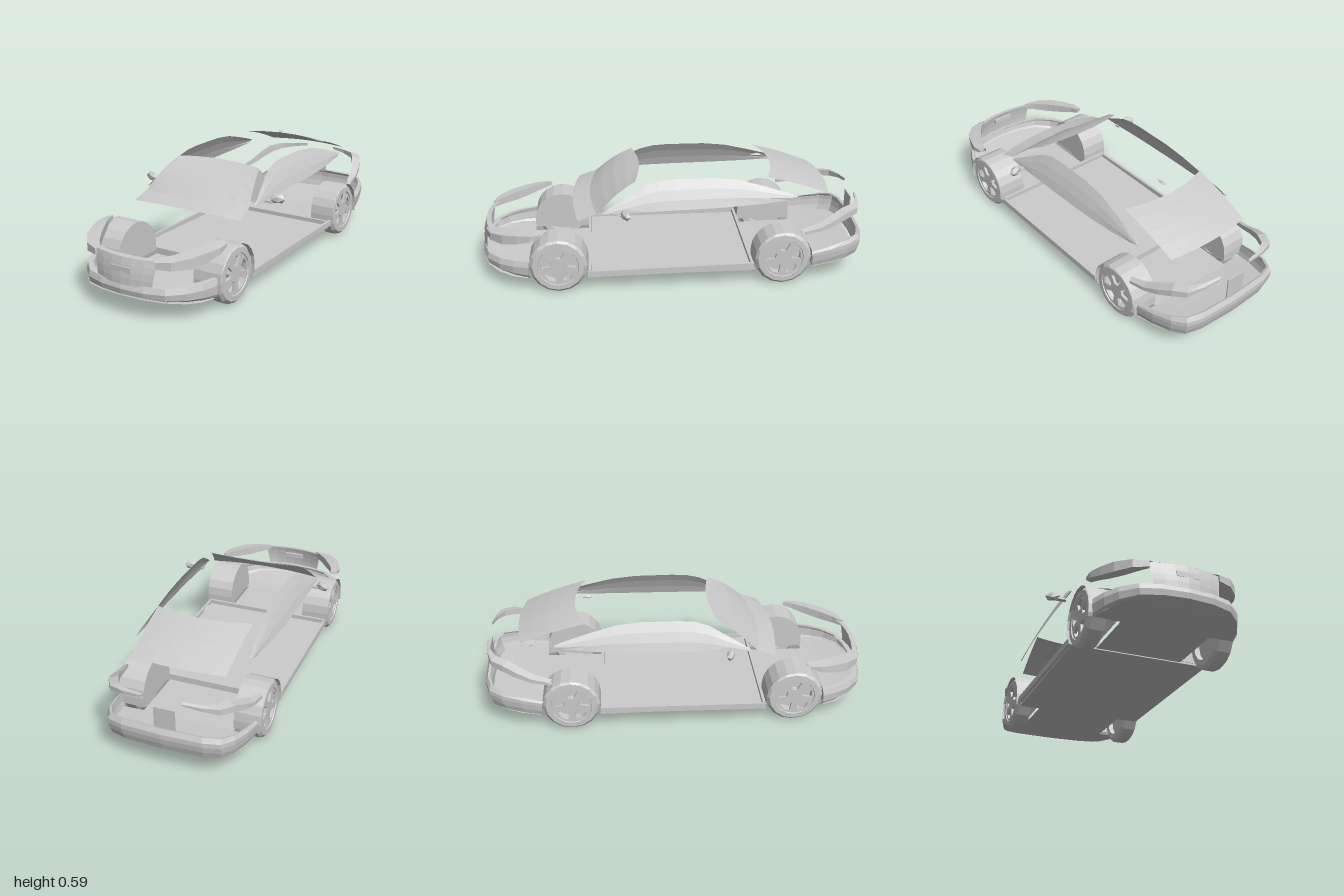
import * as THREE from 'three';

const mat = new THREE.MeshStandardMaterial({ color: 0xcccccc, flatShading: true, side: THREE.DoubleSide });
const lerp = THREE.MathUtils.lerp;

function add(parent, name, geometry) {
  const mesh = new THREE.Mesh(geometry, mat);
  mesh.name = name;
  parent.add(mesh);
}

// Skin a grid of [x, y, z] rows
function loft(rows) {
  const n = rows[0].length, index = [];
  for (let r = 0; r < rows.length - 1; r++)
    for (let i = 0; i < n - 1; i++) {
      const a = r * n + i, b = a + n;
      index.push(a, a + 1, b, b, a + 1, b + 1);
    }
  const g = new THREE.BufferGeometry();
  g.setAttribute('position', new THREE.Float32BufferAttribute(rows.flat(2), 3));
  g.setIndex(index);
  g.computeVertexNormals();
  return g;
}

// Grid from a rule of u (-1..1 across) and t (0..1 along)
function sheet(nu, nt, rule) {
  const rows = [];
  for (let j = 0; j <= nt; j++) {
    const row = [];
    for (let i = 0; i <= nu; i++) row.push(rule(i / nu * 2 - 1, j / nt));
    rows.push(row);
  }
  return loft(rows);
}

// Floor pan from [z, half width, y] stations
const pan = (stations) => loft(stations.map(([z, w, y]) => [[-w, y, z], [w, y, z]]));

// Half plan outlines [x, z] of the nose and tail
const nose = [[0, 0.995], [0.12, 0.985], [0.22, 0.955], [0.29, 0.89], [0.33, 0.82], [0.355, 0.74]];
const tail = [[0, -1], [0.2, -0.99], [0.28, -0.965], [0.32, -0.9], [0.345, -0.8], [0.355, -0.7]];
const bothSides = (plan) => [...plan.slice(1).reverse().map(([x, z]) => [-x, z]), ...plan];

// Band round a plan outline; profile is [y at centre, y at ends, scale]
function band(plan, profile) {
  const last = plan[plan.length - 1][1];
  return loft(profile.map(([yc, ye, s]) => bothSides(plan).map(([x, z]) => {
    const k = (z - last) / (plan[0][1] - last);
    return [x * s, lerp(ye, yc, k), z * (0.4 + 0.6 * s)];
  })));
}

// Four-sided bar along [x, y, z, height, depth] stations, depth going inward
function lampBar(stations, side) {
  return loft(stations.map(([x, y, z, h, d]) => {
    const zi = z - Math.sign(z) * d * 0.6;
    return [[x, y - h / 2, z], [x, y + h / 2, z], [x - d, y + h / 2 + 0.008, zi], [x - d, y - h / 4, zi], [x, y - h / 2, z]]
      .map(([a, b, c]) => [a * side, b, c]);
  }));
}

// Wheel facing +x: tyre, pierced spoke face, hub and brake disc
function makeWheel() {
  const wheel = new THREE.Group();
  const R = 0.145;
  const tyre = [[0.1, -0.045], [0.128, -0.045], [R, -0.03], [R, 0.028], [0.13, 0.044], [0.104, 0.045], [0.1, 0.036], [0.098, -0.045]]
    .map(([r, y]) => new THREE.Vector2(r, y));
  add(wheel, 'tyre', new THREE.LatheGeometry(tyre, 16).rotateZ(-Math.PI / 2));

  const face = new THREE.Shape().absarc(0, 0, 0.104, 0, Math.PI * 2);
  for (let i = 0; i < 5; i++) {
    const a = (i + 0.25) * Math.PI * 2 / 5;
    const pts = [[0.042, -0.3], [0.088, -0.4], [0.092, 0], [0.088, 0.4], [0.042, 0.3]]
      .map(([r, w]) => new THREE.Vector2(r * Math.cos(a + w), r * Math.sin(a + w)));
    face.holes.push(new THREE.Path(pts));
  }
  const spokes = new THREE.ExtrudeGeometry(face, { depth: 0.014, bevelEnabled: false, curveSegments: 8 });
  add(wheel, 'spokes', spokes.rotateY(Math.PI / 2).translate(0.026, 0, 0));
  add(wheel, 'hub', new THREE.CylinderGeometry(0.02, 0.03, 0.06, 8).rotateZ(-Math.PI / 2).translate(0.01, 0, 0));
  add(wheel, 'brakeDisc', new THREE.CylinderGeometry(0.095, 0.095, 0.01, 14).rotateZ(Math.PI / 2).translate(-0.015, 0, 0));
  return wheel;
}

// Arched liner over a wheel, with its inner wall
function makeLiner(inner, outer, r) {
  const liner = new THREE.Group();
  const arc = [[-r, -0.045]];
  for (let i = 0; i <= 10; i++) arc.push([-r * Math.cos(i * Math.PI / 10), r * Math.sin(i * Math.PI / 10)]);
  arc.push([r, -0.045]);
  add(liner, 'archLiner', loft([inner, outer].map((x) => arc.map(([z, y]) => [x, y, z]))));
  const wall = new THREE.Shape(arc.map(([z, y]) => new THREE.Vector2(-z, y)));
  add(liner, 'linerWall', new THREE.ShapeGeometry(wall).rotateY(Math.PI / 2).translate(inner, 0, 0));
  return liner;
}

export function createModel() {
  const car = new THREE.Group();
  car.name = 'car';

  // Floor: level middle, with end pans that rise towards the bumpers
  add(car, 'middleFloor', new THREE.BoxGeometry(0.69, 0.018, 0.84).translate(0, 0.084, 0.02));
  add(car, 'frontPan', pan([[0.43, 0.22, 0.08], [0.74, 0.22, 0.078], [0.745, 0.345, 0.078], [0.82, 0.322, 0.08],
    [0.89, 0.284, 0.09], [0.95, 0.215, 0.1], [0.98, 0.12, 0.105], [0.988, 0.02, 0.106]]));
  add(car, 'rearPan', pan([[-0.39, 0.235, 0.08], [-0.7, 0.235, 0.085], [-0.705, 0.345, 0.085], [-0.8, 0.335, 0.095],
    [-0.89, 0.31, 0.108], [-0.945, 0.272, 0.118], [-0.965, 0.195, 0.12], [-0.972, 0.02, 0.12]]));

  // Cross members where the floor steps
  for (const z of [-0.395, 0.435])
    add(car, 'crossMember', new THREE.BoxGeometry(0.71, 0.03, 0.015).translate(0, 0.1, z));

  // Bumpers and upper grille
  add(car, 'frontBumper', band(nose, [[0.106, 0.078, 0.97], [0.112, 0.095, 0.99], [0.138, 0.14, 1], [0.165, 0.172, 0.985], [0.167, 0.174, 0.94]]));
  add(car, 'rearBumper', band(tail, [[0.12, 0.085, 0.97], [0.155, 0.11, 0.99], [0.185, 0.145, 1], [0.21, 0.16, 1], [0.235, 0.165, 0.98], [0.23, 0.165, 0.96]]));
  add(car, 'grille', sheet(6, 4, (u, t) => [u * lerp(0.155, 0.175, t), lerp(0.16, 0.285, t), 0.99 - 0.03 * u * u - 0.02 * t * t]));
  add(car, 'grilleBar', new THREE.BoxGeometry(0.11, 0.025, 0.02).translate(0, 0.23, 0.975));
  add(car, 'noseLip', sheet(6, 1, (u, t) => [u * 0.18, 0.285 + 0.003 * t, 0.97 - 0.03 * u * u - 0.025 * t]));
  add(car, 'rearPlate', new THREE.BoxGeometry(0.105, 0.11, 0.006).translate(-0.012, 0.28, -0.972));

  // Windscreen, cowl and rear window
  add(car, 'windscreen', sheet(8, 4, (u, t) => [u * lerp(0.305, 0.245, t),
    lerp(0.4, 0.552, t) + 0.014 * Math.sin(t * Math.PI) - 0.008 * t * u * u, lerp(0.425, 0.165, t) - lerp(0.035, -0.03, t) * u * u]));
  add(car, 'cowl', sheet(8, 2, (u, t) => [u * lerp(0.31, 0.305, t),
    lerp(0.382, 0.402, t) - lerp(0.016, 0.002, t) * u * u, lerp(0.515, 0.425, t) - lerp(0.03, 0.035, t) * u * u]));
  add(car, 'rearWindow', sheet(8, 4, (u, t) => [u * lerp(0.245, 0.235, t),
    lerp(0.553, 0.45, t) + 0.008 * Math.sin(t * Math.PI) - 0.006 * u * u, lerp(-0.52, -0.815, t) + lerp(0.05, 0.025, t) * u * u]));

  // Roof aerial
  add(car, 'aerial', new THREE.OctahedronGeometry(1, 0).scale(0.012, 0.01, 0.035).translate(-0.003, 0.576, -0.455));

  // Side window stations: z, lower y, upper y
  const glass = [[0.36, 0.405, 0.412], [0.25, 0.408, 0.475], [0.15, 0.412, 0.53], [0.08, 0.414, 0.55], [0, 0.416, 0.556], [-0.2, 0.42, 0.556],
    [-0.32, 0.424, 0.543], [-0.45, 0.43, 0.51], [-0.58, 0.44, 0.472], [-0.62, 0.45, 0.458]];

  for (const side of [1, -1]) {
    const sideName = side > 0 ? 'left' : 'right';
    add(car, sideName + 'SideWindow', loft([0, 0.33, 0.67, 1].map((t) => glass.map(([z, lo, hi]) => {
      const y = lerp(lo, hi, t);
      return [side * (0.335 - (y - 0.4) * 0.48 + 0.006 * Math.sin(t * Math.PI) - 0.06 * (z + 0.05) ** 2), y, z];
    }))));

    // Mirror, its outer end swept forward-up, and its arm
    add(car, sideName + 'Mirror', new THREE.IcosahedronGeometry(1, 0).scale(0.042, 0.026, 0.022)
      .rotateY(side * 0.4).translate(side * 0.383, 0.424, 0.248));
    add(car, sideName + 'MirrorArm', new THREE.BoxGeometry(0.045, 0.01, 0.025).translate(side * 0.34, 0.408, 0.262));

    // Sill, climbing slightly to the rear
    add(car, sideName + 'Sill', new THREE.BoxGeometry(0.014, 0.032, 0.85).rotateX(0.015).translate(side * 0.354, 0.1, 0.02));

    // Lamps
    add(car, sideName + 'Headlamp', lampBar([[0.17, 0.268, 0.955, 0.03, 0.02], [0.24, 0.27, 0.93, 0.04, 0.05], [0.3, 0.275, 0.865, 0.05, 0.06],
      [0.335, 0.287, 0.79, 0.045, 0.055], [0.358, 0.3, 0.72, 0.03, 0.045], [0.355, 0.312, 0.66, 0.015, 0.03]], side));
    add(car, sideName + 'TailLamp', lampBar([[0.1, 0.378, -0.975, 0.008, 0.01], [0.19, 0.368, -0.965, 0.018, 0.02], [0.27, 0.358, -0.94, 0.03, 0.035],
      [0.31, 0.348, -0.88, 0.035, 0.04], [0.335, 0.322, -0.815, 0.03, 0.035], [0.352, 0.295, -0.74, 0.02, 0.03], [0.36, 0.278, -0.65, 0.015, 0.02]], side));

    // Wheels and liners
    for (const [end, z, inner] of [['Front', 0.59, 0.22], ['Rear', -0.55, 0.235]]) {
      const wheel = makeWheel();
      wheel.name = sideName + end + 'Wheel';
      wheel.position.set(side * 0.32, 0.145, z);
      if (side < 0) wheel.rotation.y = Math.PI;
      car.add(wheel);
      const liner = makeLiner(inner, 0.37, 0.148);
      liner.name = sideName + end + 'Liner';
      liner.position.set(0, 0.145, z);
      liner.scale.x = side;
      car.add(liner);
    }
  }
  return car;
}
